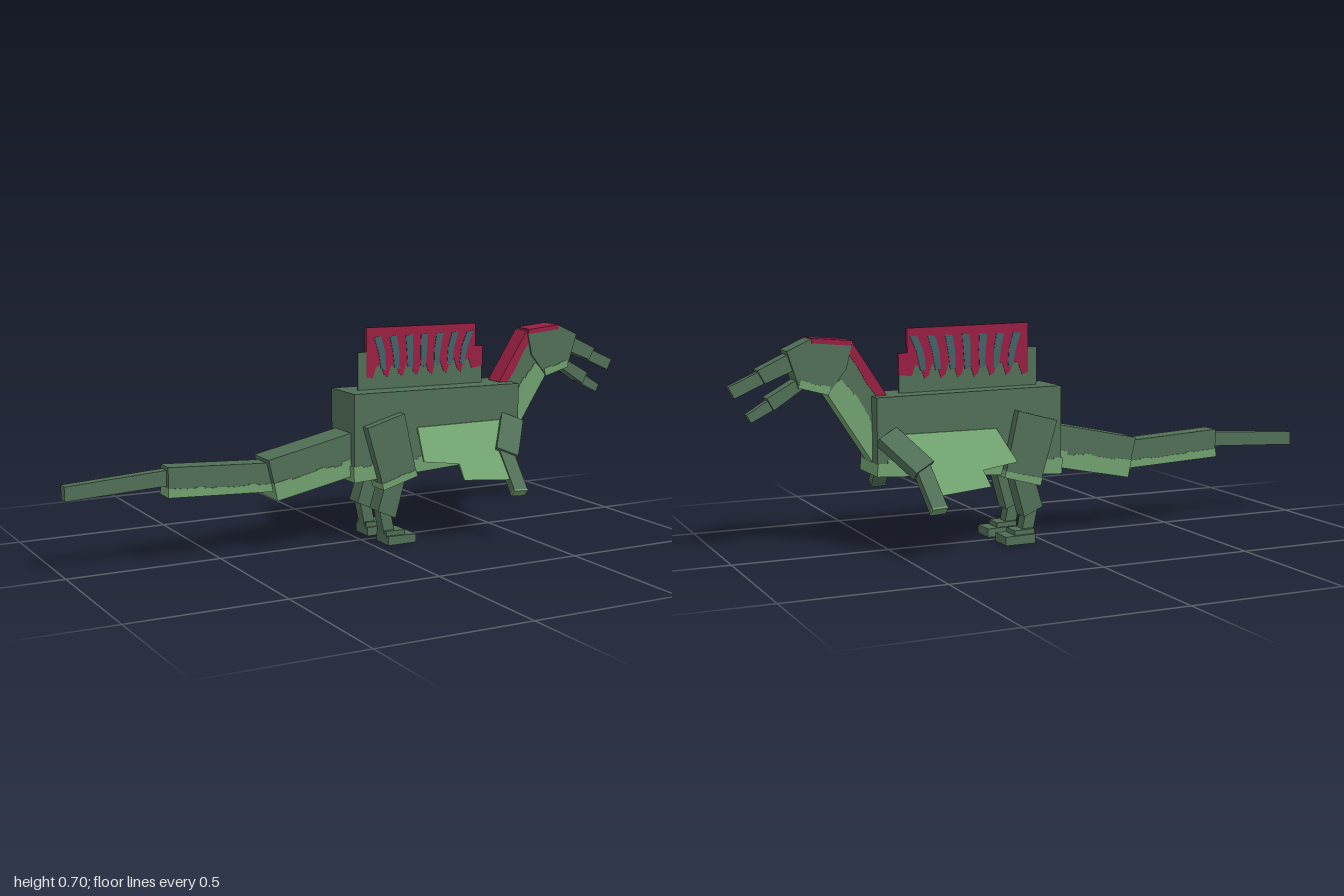
import * as THREE from 'three';

const paint = (name, color) => {
  const m = new THREE.MeshStandardMaterial({ color });
  m.name = name;
  return m;
};

export function createModel() {
  const green = paint('mossGreen', 0x506e56);
  const light = paint('paleGreen', 0x70a06e);
  const red = paint('crimson', 0x981f42);
  const teal = paint('teal', 0x3f6268);
  const model = new THREE.Group();
  model.name = 'sailbackDinosaur';

  let seed = 7;
  const rand = () => (seed = (seed * 16807) % 2147483647) / 2147483647;

  const add = (name, geometry, material) => {
    const mesh = new THREE.Mesh(geometry, material);
    mesh.name = name;
    model.add(mesh);
    return mesh;
  };

  // Side profile extruded to a half width about the plane z = zc
  const slab = (name, pts, half, material, zc = 0) => {
    const shape = new THREE.Shape(pts.map(p => new THREE.Vector2(...p)));
    const geo = new THREE.ExtrudeGeometry(shape, { depth: 2 * half, bevelEnabled: false });
    geo.translate(0, 0, zc - half);
    return add(name, geo, material);
  };

  // Thin coloured skin along the edge a-b, ragged on its inner side (left of a-b)
  const band = (name, a, b, height, half, material, rough = 0.3, zc = 0) => {
    const A = new THREE.Vector2(...a), B = new THREE.Vector2(...b);
    const d = B.clone().sub(A), len = d.length();
    d.normalize();
    const at = (t, h) => [A.x + d.x * t - d.y * h, A.y + d.y * t + d.x * h];
    const e = 0.002, steps = Math.max(3, Math.round(len / 0.03));
    const pts = [at(-e, -e), at(len + e, -e)];
    for (let i = steps; i > 0; i--) {
      const h = height * (1 + rough * (rand() - 0.5));
      pts.push(at(i === steps ? len + e : len * i / steps, h));
      pts.push(at(i === 1 ? -e : len * (i - 1) / steps, h));
    }
    return slab(name, pts, half + e, material, zc);
  };

  // Trunk
  slab('body', [[-0.065, 0.5], [-0.065, 0.215], [0.56, 0.25], [0.56, 0.492]], 0.08, green);
  band('belly', [-0.065, 0.215], [0.56, 0.25], 0.045, 0.08, light);

  // Tail, three tapering segments
  slab('tailBase', [[-0.355, 0.31], [-0.325, 0.18], [0, 0.245], [0, 0.385]], 0.055, green);
  band('tailBaseUnderside', [-0.325, 0.18], [-0.06, 0.233], 0.05, 0.055, light);
  slab('tailMiddle', [[-0.68, 0.315], [-0.68, 0.222], [-0.3, 0.205], [-0.3, 0.295]], 0.033, green);
  band('tailMiddleUnderside', [-0.68, 0.222], [-0.33, 0.206], 0.024, 0.033, light);
  slab('tailTip', [[-1, 0.285], [-1, 0.24], [-0.66, 0.256], [-0.66, 0.305]], 0.018, green);

  // Neck and head
  slab('neck', [[0.515, 0.495], [0.43, 0.365], [0.56, 0.29], [0.75, 0.585], [0.625, 0.665]], 0.032, green);
  band('throat', [0.56, 0.29], [0.705, 0.515], 0.07, 0.032, light);
  band('neckCrest', [0.625, 0.665], [0.515, 0.495], 0.028, 0.032, red, 0.2);
  slab('head', [[0.62, 0.665], [0.735, 0.676], [0.755, 0.672], [0.825, 0.64],
    [0.79, 0.53], [0.7, 0.505], [0.64, 0.58]], 0.038, green);
  band('headCrest', [0.745, 0.675], [0.625, 0.664], 0.014, 0.038, red, 0.2);
  band('chin', [0.7, 0.505], [0.79, 0.53], 0.022, 0.038, light);
  slab('upperJaw', [[0.79, 0.643], [0.912, 0.585], [0.89, 0.545], [0.78, 0.59]], 0.027, green);
  slab('snoutTip', [[0.88, 0.592], [0.998, 0.538], [0.98, 0.503], [0.87, 0.553]], 0.014, green);
  slab('lowerJaw', [[0.78, 0.56], [0.885, 0.5], [0.865, 0.463], [0.765, 0.53]], 0.026, green);
  slab('lowerJawTip', [[0.86, 0.505], [0.945, 0.452], [0.932, 0.428], [0.85, 0.47]], 0.014, green);

  // Back sail: green web with a crimson field and a fan of teal streaks
  slab('sail', [[-0.012, 0.49], [0.46, 0.485], [0.46, 0.615], [0.43, 0.617], [0.43, 0.693],
    [0.02, 0.699], [0.02, 0.622], [-0.012, 0.622]], 0.005, green);
  const field = [[0.462, 0.617], [0.432, 0.619], [0.432, 0.695], [0.018, 0.701], [0.018, 0.54]];
  for (let i = 0; i < 7; i++) {
    const x = 0.04 + i * 0.056;
    field.push([x, 0.535], [x + 0.012, 0.57], [x + 0.03, 0.58], [x + 0.042, 0.545]);
  }
  field.push([0.462, 0.55]);
  slab('sailField', field, 0.0065, red);
  for (let i = 0; i < 7; i++) {
    const x = 0.08 + i * 0.05, lean = (i - 2.4) * 0.009;
    slab('sailStreak', [[x - 0.009, 0.565], [x + 0.009, 0.56], [x + 0.012 + lean * 0.3, 0.62],
      [x + 0.012 + lean, 0.672], [x - 0.014 + lean, 0.668], [x - 0.012 + lean * 0.3, 0.62]], 0.008, teal);
  }

  // Box running from p to q, its flat face turned outward and up
  const limb = (name, p, q, width, thick, side, material) => {
    const P = new THREE.Vector3(p[0], p[1], p[2] * side);
    const Q = new THREE.Vector3(q[0], q[1], q[2] * side);
    const d = Q.clone().sub(P), len = d.length();
    d.normalize();
    const n = new THREE.Vector3(0, 1, side).normalize();
    n.addScaledVector(d, -n.dot(d)).normalize();
    const w = d.clone().cross(n);
    const geo = new THREE.BoxGeometry(width, len, thick);
    geo.applyMatrix4(new THREE.Matrix4().makeBasis(w, d, n).setPosition(P.add(Q).multiplyScalar(0.5)));
    return add(name, geo, material);
  };

  for (const side of [1, -1]) {
    const label = side > 0 ? 'front' : 'back';
    const leg = (part, pts, z0, z1, mat = green) =>
      slab(label + part, pts, (z1 - z0) / 2, mat, side * (z0 + z1) / 2);

    // Hind leg
    leg('Thigh', [[-0.035, 0.393], [0.1, 0.43], [0.147, 0.222], [0.025, 0.188]], 0.04, 0.112);
    band(label + 'ThighUnderside', [0.025, 0.188], [0.147, 0.222], 0.02, 0.036, light, 0.3, side * 0.076);
    leg('Shin', [[0.045, 0.23], [0.115, 0.23], [0.075, 0.086], [0.01, 0.115]], 0.04, 0.1);
    leg('Ankle', [[0.02, 0.125], [0.062, 0.11], [0.08, 0.03], [0.04, 0.03]], 0.046, 0.088);
    leg('FootTop', [[0.04, 0.025], [0.04, 0.046], [0.11, 0.044], [0.11, 0.025]], 0.037, 0.102);
    leg('Foot', [[0.042, 0], [0.042, 0.03], [0.145, 0.028], [0.145, 0]], 0.03, 0.112);

    // Arm with a pale fingertip
    limb(label + 'UpperArm', [0.53, 0.372, 0.08], [0.447, 0.275, 0.177], 0.078, 0.036, side, green);
    limb(label + 'Forearm', [0.45, 0.28, 0.167], [0.438, 0.167, 0.275], 0.05, 0.03, side, green);
    limb(label + 'Fingertip', [0.4382, 0.169, 0.273], [0.4378, 0.165, 0.277], 0.051, 0.031, side, light);

    // Feathered sheet sloping outward and down from the flank
    const wing = slab(label + 'ArmFeathers', [[0.165, 0.375], [0.135, 0.28], [0.258, 0.265],
      [0.25, 0.22], [0.45, 0.205], [0.45, 0.28], [0.53, 0.375]], 0.004, light);
    const pos = wing.geometry.attributes.position;
    for (let i = 0; i < pos.count; i++) {
      pos.setZ(i, pos.getZ(i) + side * (0.08 + 0.375 - pos.getY(i)));
    }
    wing.geometry.computeVertexNormals();
  }
  return model;
}
